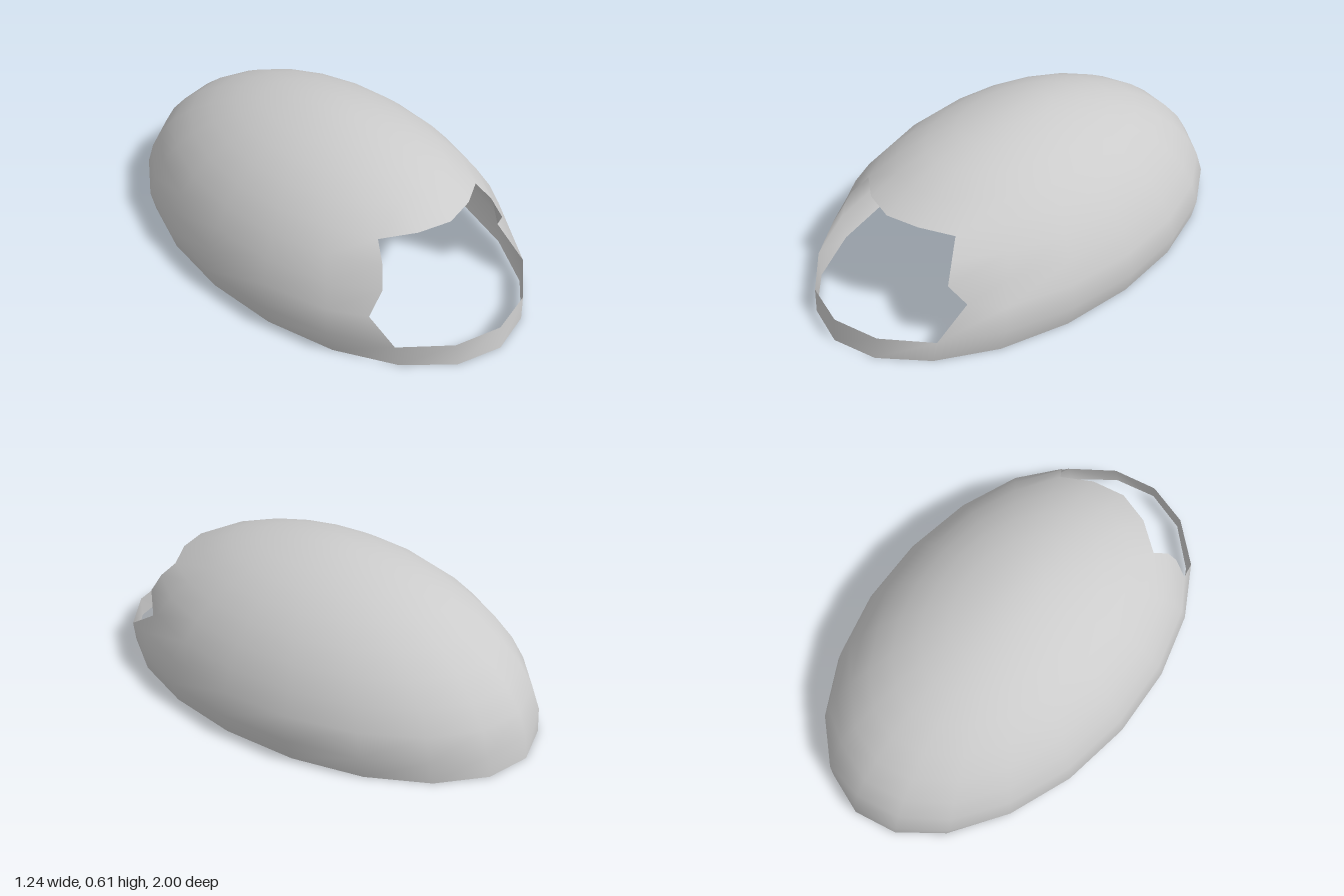
import * as THREE from 'three';

const COLS = 20;
const ROWS = 10;

// Vertices around the opening that stray from the regular grid: "row,column"
const edits = {
  '2,-2': [-0.395, 0.19, 0.69],
  '2,2': [0.37, 0.19, 0.65],
  '3,-2': [-0.33, 0.28, 0.69],
  '3,2': [0.325, 0.28, 0.70],
  '5,-2': [-0.262, 0.42, 0.59],
  '5,2': [0.262, 0.42, 0.60],
};

// Point of the half ellipsoid; column 0 faces the front
function shellPoint(row, col) {
  const edit = edits[`${row},${col}`];
  if (edit) return edit;
  const up = (row / ROWS) * Math.PI / 2;
  const around = (col / COLS) * Math.PI * 2;
  // the sides tuck in at the bottom rim
  const halfWidth = row === 0 ? 0.593 : 0.63 * Math.cos(up);
  return [halfWidth * Math.sin(around), 0.612 * Math.sin(up), Math.cos(up) * Math.cos(around)];
}

function shellGeometry() {
  const points = [];
  const faces = [];
  for (let r = 0; r < ROWS; r++) {
    for (let c = -COLS / 2; c < COLS / 2; c++) points.push(...shellPoint(r, c));
  }
  points.push(0, 0.612, 0);
  const pole = ROWS * COLS;
  const id = (r, c) => (r === ROWS ? pole : r * COLS + ((c + COLS / 2) % COLS));

  for (let r = 0; r < ROWS; r++) {
    for (let c = -COLS / 2; c < COLS / 2; c++) {
      // front opening above the low rim
      if (r >= 1 && r < 5 && c >= -2 && c < 2) continue;
      faces.push(id(r, c), id(r, c + 1), id(r + 1, c + 1));
      if (r < ROWS - 1) faces.push(id(r, c), id(r + 1, c + 1), id(r + 1, c));
    }
  }
  const geometry = new THREE.BufferGeometry();
  geometry.setAttribute('position', new THREE.Float32BufferAttribute(points, 3));
  geometry.setIndex(faces);
  geometry.computeVertexNormals();
  return geometry;
}

export function createModel() {
  const model = new THREE.Group();
  model.name = 'openDome';
  // Thin hollow shell, open underneath
  const shell = new THREE.Mesh(
    shellGeometry(),
    new THREE.MeshStandardMaterial({ color: 0xcccccc, side: THREE.DoubleSide })
  );
  shell.name = 'domeShell';
  model.add(shell);
  return model;
}
